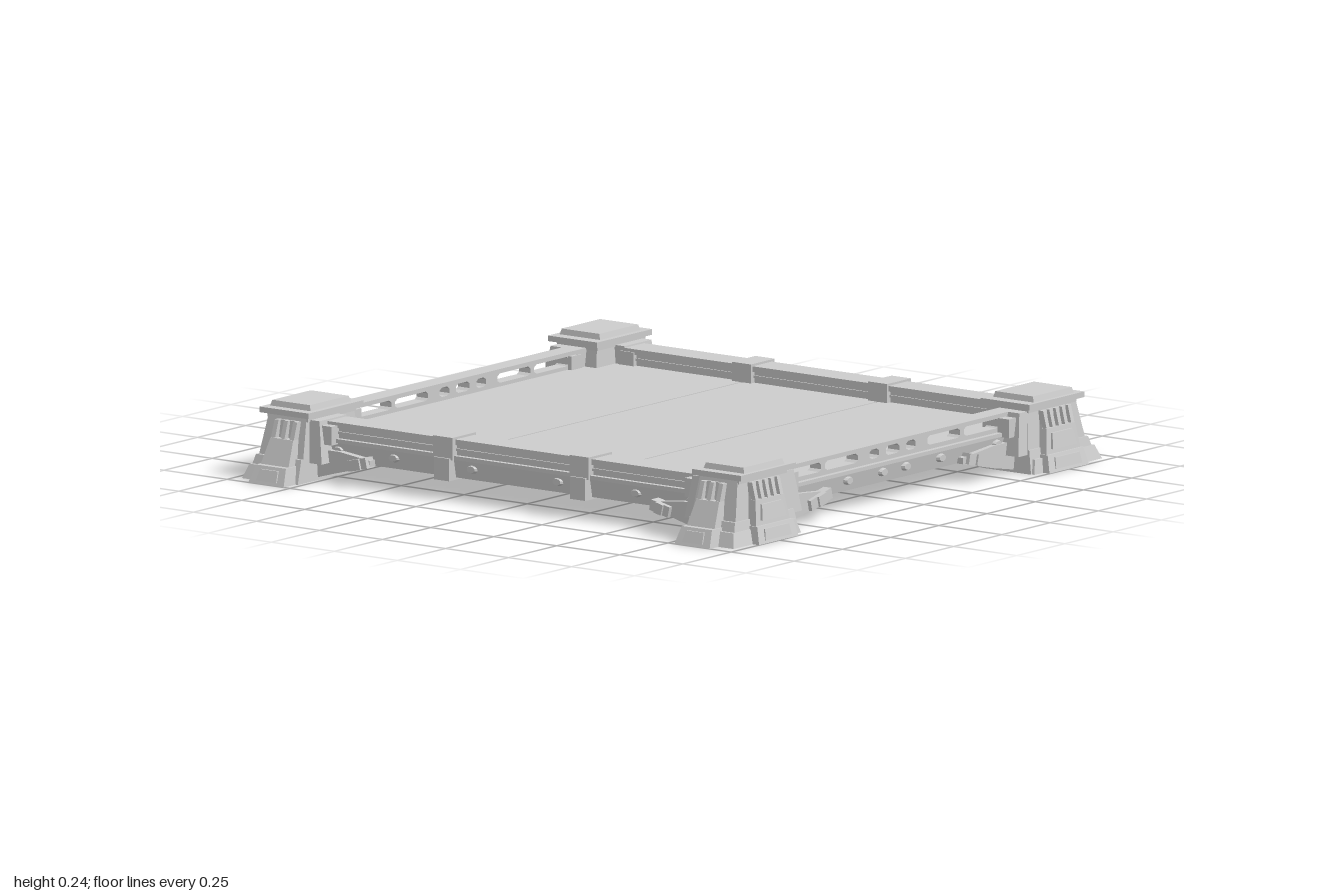
import * as THREE from 'three';

const stone = new THREE.MeshStandardMaterial({ color: 0xcccccc });
stone.name = 'pale grey';

// Applies a matrix, turning triangles round when it mirrors, and gives hard edges.
function baked(geometry, matrix) {
  const geo = geometry.index ? geometry.toNonIndexed() : geometry.clone();
  geo.applyMatrix4(matrix);
  if (matrix.determinant() < 0) {
    const p = geo.attributes.position;
    for (let i = 0; i < p.count; i += 3) {
      const b = new THREE.Vector3().fromBufferAttribute(p, i + 1);
      const c = new THREE.Vector3().fromBufferAttribute(p, i + 2);
      p.setXYZ(i + 1, c.x, c.y, c.z);
      p.setXYZ(i + 2, b.x, b.y, b.z);
    }
  }
  geo.computeVertexNormals();
  return geo;
}

function add(parent, name, geometry, matrix = new THREE.Matrix4()) {
  const mesh = new THREE.Mesh(baked(geometry, matrix), stone);
  mesh.name = name;
  parent.add(mesh);
}

// Tapered block: bottom and top rectangles are [x0, x1, z0, z1].
function block(y0, bottom, y1, top = bottom) {
  const geo = new THREE.BoxGeometry(1, 1, 1);
  const p = geo.attributes.position;
  for (let i = 0; i < p.count; i++) {
    const r = p.getY(i) < 0 ? bottom : top;
    p.setXYZ(i, r[p.getX(i) < 0 ? 0 : 1], p.getY(i) < 0 ? y0 : y1, r[p.getZ(i) < 0 ? 2 : 3]);
  }
  return geo;
}

const path = (pts, Type = THREE.Shape) => new Type(pts.map(([x, y]) => new THREE.Vector2(x, y)));

// Flat profile in x and y, extruded between z0 and z1.
function slab(shape, z0, z1) {
  return new THREE.ExtrudeGeometry(shape, { depth: z1 - z0, bevelEnabled: false }).translate(0, 0, z0);
}

const mirror = (sx, sz) => new THREE.Matrix4().makeScale(sx, 1, sz);
const swapXZ = new THREE.Matrix4().set(0, 0, 1, 0, 0, 1, 0, 0, 1, 0, 0, 0, 0, 0, 0, 1);

// Everything in one corner, made for +x +z and mirrored to the others.
function addCorner(parent, sx, sz) {
  const g = new THREE.Group();
  g.name = 'cornerTower';
  parent.add(g);
  const m = mirror(sx, sz);
  const put = (name, geo) => add(g, name, geo, m);

  put('towerBase', block(0, [0.6, 0.94, 0.765, 0.965], 0.075, [0.61, 0.915, 0.77, 0.95]));
  put('towerCore', block(0.075, [0.61, 0.905, 0.77, 0.945], 0.2, [0.63, 0.875, 0.78, 0.93]));
  put('cornerFoot', block(0, [0.84, 0.955, 0.88, 0.975], 0.045, [0.84, 0.935, 0.88, 0.96]));
  put('innerFoot', block(0, [0.605, 0.67, 0.88, 0.975], 0.045, [0.62, 0.67, 0.88, 0.965]));

  // Front pylon, with ribbed vent
  put('frontFoot', block(0, [0.65, 0.855, 0.88, 1], 0.055, [0.66, 0.845, 0.88, 0.985]));
  put('frontPylon', block(0.055, [0.665, 0.84, 0.88, 0.977], 0.135, [0.68, 0.828, 0.88, 0.965]));
  put('frontVent', block(0.135, [0.68, 0.828, 0.88, 0.947], 0.19, [0.69, 0.818, 0.88, 0.94]));
  put('frontPanel', block(0.07, [0.69, 0.815, 0.95, 0.983], 0.12, [0.7, 0.805, 0.95, 0.974]));
  put('footPanel', block(0.01, [0.685, 0.82, 0.96, 1], 0.045, [0.69, 0.815, 0.96, 0.993]));
  for (const x of [0.69, 0.722, 0.754, 0.786, 0.818]) {
    put('ventRib', block(0.135, [x - 0.008, x + 0.008, 0.92, 0.964], 0.19, [x - 0.008, x + 0.008, 0.92, 0.95]));
  }

  // Outer pylon
  put('sideFoot', block(0, [0.88, 1, 0.775, 0.915], 0.055, [0.88, 0.975, 0.785, 0.905]));
  put('sidePylon', block(0.055, [0.86, 0.955, 0.79, 0.9], 0.135, [0.86, 0.918, 0.8, 0.89]));
  put('sideVent', block(0.135, [0.86, 0.895, 0.8, 0.89], 0.19, [0.86, 0.885, 0.805, 0.885]));
  put('sideFootPanel', block(0.01, [0.93, 1, 0.805, 0.885], 0.045, [0.93, 0.985, 0.81, 0.88]));
  for (const z of [0.808, 0.845, 0.882]) {
    put('ventRib', block(0.135, [0.86, 0.915, z - 0.008, z + 0.008], 0.19, [0.86, 0.897, z - 0.008, z + 0.008]));
  }

  // Clamps gripping the rails
  put('frontRailClamp', block(0.06, [0.56, 0.64, 0.82, 0.945], 0.195, [0.585, 0.64, 0.82, 0.93]));
  put('frontRailCollar', block(0.12, [0.545, 0.6, 0.815, 0.92], 0.18));
  put('sideRailClamp', block(0.06, [0.72, 0.875, 0.72, 0.79], 0.195, [0.72, 0.86, 0.74, 0.79]));
  put('sideRailCollar', block(0.12, [0.715, 0.85, 0.7, 0.76], 0.18));

  // Stepped cap
  put('capNeck', block(0.19, [0.625, 0.875, 0.775, 0.935], 0.207));
  put('capSlab', block(0.204, [0.605, 0.89, 0.76, 0.955], 0.222));
  put('capTop', block(0.222, [0.645, 0.855, 0.78, 0.94], 0.24, [0.65, 0.85, 0.785, 0.935]));

  // Sloping gussets under the beams
  const frontGusset = path([[0.62, 0.005], [0.5, 0.028], [0.34, 0.065], [0.34, 0.085], [0.5, 0.1], [0.62, 0.1]]);
  put('frontGusset', slab(frontGusset, 0.82, 0.895));
  const sideGusset = path([[0.78, 0.005], [0.7, 0.028], [0.56, 0.065], [0.56, 0.085], [0.68, 0.1], [0.78, 0.1]]);
  add(g, 'sideGusset', slab(sideGusset, 0.74, 0.835), m.clone().multiply(swapXZ));
  const strap = (w) => new THREE.BoxGeometry(w, 0.035, 0.04).rotateZ(-0.24);
  put('frontStrap', strap(0.11).translate(0.41, 0.068, 0.888));
  put('frontStrapBolt', strap(0.04).translate(0.41, 0.068, 0.895));
  add(g, 'sideStrap', strap(0.075).translate(0.6, 0.07, 0.83), m.clone().multiply(swapXZ));
  add(g, 'sideStrapBolt', strap(0.03).translate(0.6, 0.07, 0.837), m.clone().multiply(swapXZ));
}

// Oval boss facing +z
function boss(x, y, z) {
  return new THREE.CylinderGeometry(0.016, 0.022, 0.012, 10).rotateX(Math.PI / 2).scale(1, 0.65, 1).translate(x, y, z);
}

// Front or back edge: beam, pierced parapet and coping
function addFrontEdge(parent, sz) {
  const g = new THREE.Group();
  g.name = 'endRail';
  parent.add(g);
  const m = mirror(1, sz);
  add(g, 'beam', block(0.065, [-0.64, 0.64, 0.8, 0.87], 0.13, [-0.64, 0.64, 0.8, 0.885]), m);
  const wall = path([[-0.62, 0.128], [0.62, 0.128], [0.62, 0.19], [-0.62, 0.19]]);
  for (const [a, b] of [[-0.55, -0.37], [-0.35, -0.18], [-0.12, -0.07], [-0.035, 0.035], [0.07, 0.12], [0.18, 0.35], [0.37, 0.55]]) {
    wall.holes.push(path([[a, 0.155], [a + 0.012, 0.148], [b - 0.012, 0.148], [b, 0.155],
      [b, 0.17], [b - 0.012, 0.178], [a + 0.012, 0.178], [a, 0.17]], THREE.Path));
  }
  add(g, 'piercedParapet', slab(wall, 0.83, 0.875), m);
  add(g, 'coping', block(0.182, [-0.62, 0.62, 0.82, 0.885], 0.195), m);
  add(g, 'beamLip', block(0.122, [-0.6, 0.6, 0.86, 0.892], 0.134), m);
  for (const x of [-0.53, -0.24, -0.06, 0.06, 0.24, 0.53]) add(g, 'boss', boss(x, 0.1, 0.885), m);
}

// Left or right edge: beam, curb, slab rail and bands
function addSideEdge(parent, sx) {
  const g = new THREE.Group();
  g.name = 'sideRail';
  parent.add(g);
  const m = mirror(sx, 1);
  add(g, 'beam', block(0.065, [0.7, 0.805, -0.79, 0.79], 0.13, [0.7, 0.818, -0.79, 0.79]), m);
  add(g, 'beamLip', block(0.125, [0.78, 0.826, -0.74, 0.74], 0.138), m);
  add(g, 'curb', block(0.13, [0.73, 0.81, -0.77, 0.77], 0.172), m);
  add(g, 'railMoulding', block(0.152, [0.725, 0.816, -0.77, 0.77], 0.16), m);
  add(g, 'railSlab', block(0.172, [0.72, 0.82, -0.77, 0.77], 0.19), m);
  for (const z of [-0.27, 0.27]) {
    add(g, 'railBand', block(0.125, [0.712, 0.835, z - 0.038, z + 0.038], 0.197), m);
    add(g, 'beamBand', block(0.058, [0.75, 0.842, z - 0.03, z + 0.03], 0.13), m);
  }
  for (const z of [-0.7, -0.48, -0.17, 0.17, 0.48, 0.7]) {
    add(g, 'boss', boss(z, 0.1, 0.815), m.clone().multiply(swapXZ));
  }
}

// Slanted shield; the outer face leans out towards the bottom.
function shield(scale, x0, x1) {
  const outline = [[-0.108, 0.145], [0.108, 0.145], [0.113, 0.125], [0.098, 0.066], [0, 0.045], [-0.098, 0.066], [-0.113, 0.125]];
  const geo = slab(path(outline.map(([z, y]) => [z * scale, 0.1 + (y - 0.1) * scale])), x0, x1);
  const p = geo.attributes.position;
  for (let i = 0; i < p.count; i++) {
    if (p.getZ(i) > (x0 + x1) / 2) p.setZ(i, p.getZ(i) + (0.145 - p.getY(i)) * 0.68);
  }
  return geo;
}

export function createModel() {
  const model = new THREE.Group();
  model.name = 'platform';

  // Deck of three broad panels with narrow joints
  add(model, 'deckBase', block(0.065, [-0.79, 0.79, -0.84, 0.84], 0.131));
  for (const [z0, z1] of [[-0.83, -0.273], [-0.267, 0.267], [0.273, 0.83]]) {
    add(model, 'deckPanel', block(0.13, [-0.75, 0.75, z0, z1], 0.136));
  }

  for (const s of [-1, 1]) {
    addFrontEdge(model, s);
    addSideEdge(model, s);
    for (const t of [-1, 1]) addCorner(model, s, t);
  }

  // Plaque on the left side, with a raised inner plate and plain lozenge
  add(model, 'plaque', shield(1, 0.8, 0.868), swapXZ);
  add(model, 'plaquePlate', shield(0.8, 0.82, 0.875), swapXZ);
  const lozenge = new THREE.CylinderGeometry(0.026, 0.03, 0.01, 4).rotateX(Math.PI / 2).rotateX(-0.597);
  add(model, 'plaqueLozenge', lozenge.translate(0, 0.1, 0.908), swapXZ);
  return model;
}
